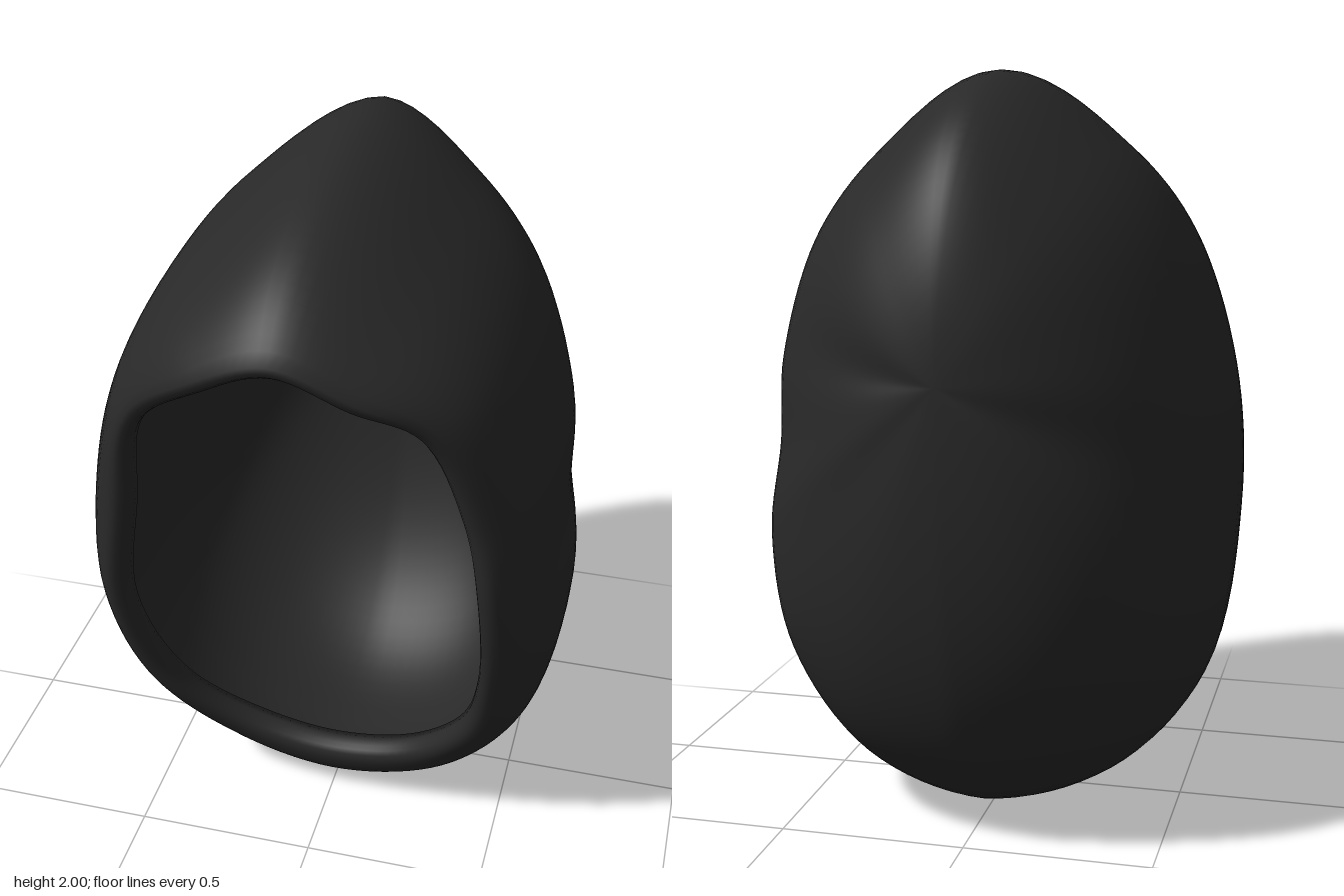
import * as THREE from 'three';
import { mergeVertices } from 'three/addons/utils/BufferGeometryUtils.js';

// Widest outline of the hood (x, y), clockwise from the crown
const OUTLINE = [[0, 2], [0.3, 1.81], [0.49, 1.58], [0.6, 1.25], [0.61, 1], [0.64, 0.72], [0.57, 0.38], [0.34, 0.1],
  [0, 0], [-0.34, 0.11], [-0.57, 0.38], [-0.64, 0.8], [-0.615, 1.2], [-0.48, 1.58], [-0.3, 1.81]];
// Edge of the face opening (x, y, z), matching the outline point by point
const OPENING = [[0, 1.69, 0.68], [0.17, 1.61, 0.65], [0.31, 1.52, 0.57], [0.41, 1.25, 0.5], [0.45, 1, 0.475],
  [0.45, 0.65, 0.385], [0.39, 0.42, 0.3], [0.22, 0.25, 0.23], [0, 0.2, 0.21], [-0.22, 0.26, 0.23],
  [-0.4, 0.44, 0.315], [-0.49, 0.78, 0.425], [-0.44, 1.15, 0.485], [-0.39, 1.42, 0.535], [-0.18, 1.61, 0.65]];
// Directions of the soft folds that meet at the back of the head
const FOLDS = [0.1, 1.14 * Math.PI, 1.72 * Math.PI];

const loop = (pts) => new THREE.CatmullRomCurve3(pts.map(([x, y, z = 0]) => new THREE.Vector3(x, y, z)), true, 'centripetal');
const POLE_Y = 1.25, BACK = 0.735;
const CENTRE = new THREE.Vector3(0, 1, 0);

// Back half: a rounded dome from the pole to the widest outline
function backPoint(s, t) {
  const dx = s.x, dy = s.y - POLE_Y;
  const angle = Math.atan2(dy, dx);
  const n = 2.5 - 0.55 * Math.abs(Math.cos(angle));
  const r = Math.pow(Math.sin(t * Math.PI / 2), 2 / n);
  let z = t === 1 ? 0 : -BACK * Math.pow(Math.cos(t * Math.PI / 2), 2 / n);
  for (const fold of FOLDS) {
    const d = Math.atan2(Math.sin(angle - fold), Math.cos(angle - fold));
    z += 0.3 * Math.pow(r * (1 - r), 2) * Math.exp(-d * d / 0.08);
  }
  return new THREE.Vector3(dx * r, POLE_Y + dy * r, z);
}

// One strip from the back pole, over the outside, round the lip and back inside
function meridian(s, edge) {
  const out = s.clone().sub(edge).setZ(0).normalize();
  const lip = edge.clone().addScaledVector(out, 0.045);
  lip.z += 0.065;
  const high = THREE.MathUtils.smoothstep(s.y, 1.5, 2);
  const bend = new THREE.Vector3(s.x, s.y - 0.01 * high, lip.z * (0.9 - 0.14 * high));
  const front = new THREE.QuadraticBezierCurve3(s, bend, lip);
  const roll = new THREE.QuadraticBezierCurve3(lip, new THREE.Vector3(edge.x, edge.y, lip.z), edge);
  const outer = [];
  for (let i = 0; i <= 26; i++) outer.push(backPoint(s, i / 26));
  for (let i = 1; i <= 16; i++) outer.push(front.getPoint(i / 16));
  const inner = outer.slice(0, 36).map((p) => p.clone().sub(CENTRE).multiplyScalar(0.96).add(CENTRE)).reverse();
  return [...outer, ...roll.getPoints(5).slice(1), ...inner];
}

function hoodGeometry(segments = 120) {
  const outline = loop(OUTLINE), opening = loop(OPENING);
  const positions = [], index = [];
  let rows = 0;
  for (let j = 0; j < segments; j++) {
    const strip = meridian(outline.getPoint(j / segments), opening.getPoint(j / segments));
    rows = strip.length;
    for (const p of strip) positions.push(p.x, p.y, p.z);
  }
  for (let j = 0; j < segments; j++) {
    for (let i = 0; i < rows - 1; i++) {
      const a = j * rows + i, c = ((j + 1) % segments) * rows + i;
      index.push(a, a + 1, c, a + 1, c + 1, c);
    }
  }
  const geometry = new THREE.BufferGeometry();
  geometry.setAttribute('position', new THREE.Float32BufferAttribute(positions, 3));
  geometry.setIndex(index);
  // Weld the two poles so the shading stays smooth there
  const welded = mergeVertices(geometry, 1e-5);
  welded.computeVertexNormals();
  return welded;
}

export function createModel() {
  const group = new THREE.Group();
  group.name = 'hood';
  const fabric = new THREE.MeshStandardMaterial({ color: 0x292929 });
  fabric.name = 'charcoal fabric';
  const shell = new THREE.Mesh(hoodGeometry(), fabric);
  shell.name = 'hoodShell';
  group.add(shell);
  return group;
}
